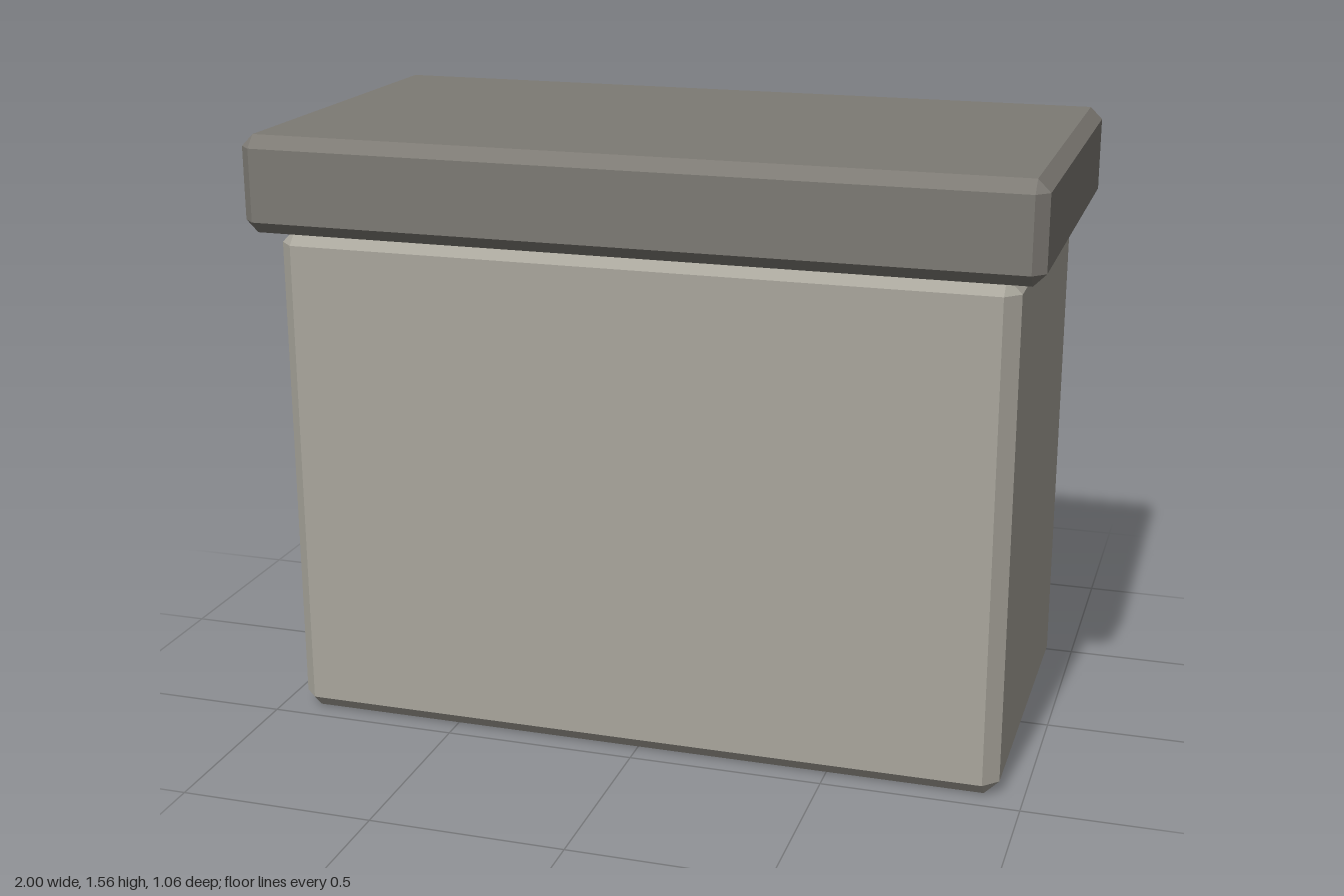
import * as THREE from 'three';
import { ConvexGeometry } from 'three/addons/geometries/ConvexGeometry.js';

// Box with flat 45-degree chamfers on every edge and small triangular corners
function chamferedBox(width, height, depth, chamfer) {
  const half = [width / 2, height / 2, depth / 2];
  const points = [];
  for (const sx of [-1, 1]) for (const sy of [-1, 1]) for (const sz of [-1, 1]) {
    const signs = [sx, sy, sz];
    // each corner becomes three points, one on each neighbouring face
    for (let face = 0; face < 3; face++) {
      points.push(new THREE.Vector3(...signs.map(
        (s, axis) => s * (half[axis] - (axis === face ? 0 : chamfer)))));
    }
  }
  return new ConvexGeometry(points);
}

export function createModel() {
  const model = new THREE.Group();
  model.name = 'pedestal';

  const paleStone = new THREE.MeshStandardMaterial({ color: 0xa9a69c });
  paleStone.name = 'pale stone';
  const darkStone = new THREE.MeshStandardMaterial({ color: 0x7d7a74 });
  darkStone.name = 'dark stone';

  const bodyHeight = 1.315, slabHeight = 0.248;

  // Main block
  const body = new THREE.Mesh(chamferedBox(1.876, bodyHeight, 0.94, 0.0375), paleStone);
  body.name = 'body';
  body.position.y = bodyHeight / 2;

  // Overhanging top slab
  const slab = new THREE.Mesh(chamferedBox(2, slabHeight, 1.064, 0.031), darkStone);
  slab.name = 'topSlab';
  slab.position.y = bodyHeight + slabHeight / 2;

  model.add(body, slab);
  return model;
}
